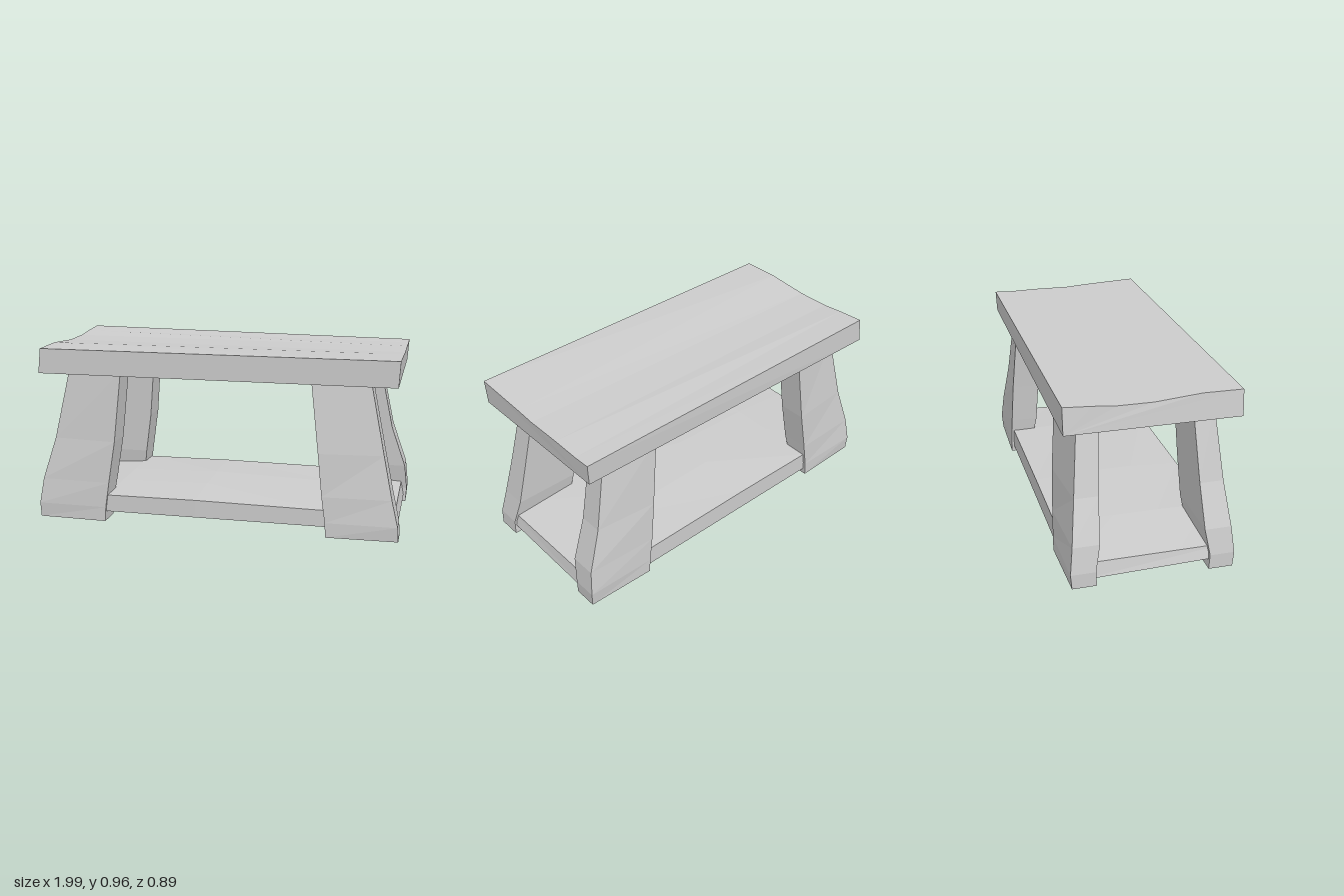
import * as THREE from 'three';

const material = new THREE.MeshStandardMaterial({ color: 0xcccccc, flatShading: true });

// Joins closed cross-sections into a faceted solid with capped ends.
// Each ring turns right-handed about the direction of travel.
function loft(name, rings) {
  const n = rings[0].length;
  const positions = [];
  const tri = (...points) => points.forEach((p) => positions.push(...p));
  for (let i = 0; i < rings.length - 1; i++) {
    for (let j = 0; j < n; j++) {
      const k = (j + 1) % n;
      const [a, b, c, d] = [rings[i][j], rings[i][k], rings[i + 1][k], rings[i + 1][j]];
      tri(a, b, c);
      tri(a, c, d);
    }
  }
  const first = rings[0];
  const last = rings[rings.length - 1];
  for (let j = 0; j < n - 2; j++) {
    tri(first[n - 1], first[j + 1], first[j]);
    tri(last[n - 1], last[j], last[j + 1]);
  }
  const geometry = new THREE.BufferGeometry();
  geometry.setAttribute('position', new THREE.Float32BufferAttribute(positions, 3));
  geometry.computeVertexNormals();
  const mesh = new THREE.Mesh(geometry, material);
  mesh.name = name;
  return mesh;
}

// Thick seat plank with a worn, wavy top running along x
function seat() {
  const section = (xTop, xBottom, back, top) => [
    ...top.map(([z, y]) => [xTop, y, z]),
    [xBottom, 0.82, 0.445],
    [xBottom, 0.82, back],
  ];
  return loft('seat', [
    section(-0.945, -0.96, -0.445,
      [[-0.445, 0.958], [-0.3, 0.949], [-0.18, 0.938], [0, 0.937], [0.24, 0.957], [0.447, 0.955]]),
    section(0.97, 0.962, -0.43,
      [[-0.435, 0.938], [-0.34, 0.934], [-0.18, 0.937], [0.02, 0.935], [0.14, 0.943], [0.447, 0.957]]),
  ]);
}

// Low shelf, slightly crowned in the middle and thinner at its slanted ends
function shelf() {
  const section = (xTop, xBottom, yEdge, yMid) => [
    [xTop, yEdge, -0.415],
    [xTop, yMid, -0.1],
    [xTop, yMid, 0.14],
    [xTop, yEdge, 0.418],
    [xBottom, 0.055, 0.418],
    [xBottom, 0.035, -0.415],
  ];
  return loft('shelf', [
    section(-0.962, -0.978, 0.12, 0.12),
    section(-0.6, -0.6, 0.148, 0.155),
    section(-0.1, -0.1, 0.152, 0.168),
    section(0.6, 0.6, 0.146, 0.15),
    section(0.962, 0.978, 0.12, 0.12),
  ]);
}

// Splayed leg, wide in x and thin in z. Each row gives: height, outer x, inner x,
// outer z at the outer corner, outer z at the inner corner, inner z.
function leg(name, sx, sz, bump, notch) {
  const rows = [
    [0, 0.99, 0.61, 0.42, 0.43, 0.293],
    [0.08, 0.985 + bump / 3, 0.605, 0.427, 0.43, 0.297],
    [0.22, 0.95 + bump, 0.585, 0.412, 0.426, 0.272],
    [0.45, 0.9, 0.56 - notch, 0.385, 0.416, 0.26],
    [0.83, 0.82, 0.515, 0.35, 0.39, 0.24],
  ];
  return loft(name, rows.map(([y, outer, inner, zOuter, zInner, zBack]) => {
    const ring = [
      [outer, zBack], [inner, zBack], [inner, zInner], [outer, zOuter],
    ].map(([x, z]) => [sx * x, y, sz * z]);
    return sx * sz < 0 ? ring.reverse() : ring;
  }));
}

export function createModel() {
  const model = new THREE.Group();
  model.name = 'bench';
  model.add(
    seat(),
    shelf(),
    leg('frontLeftLeg', 1, 1, 0, 0),
    leg('frontRightLeg', -1, 1, 0.02, 0.01),
    leg('backLeftLeg', 1, -1, 0.03, 0),
    leg('backRightLeg', -1, -1, 0.02, 0.01),
  );
  return model;
}
